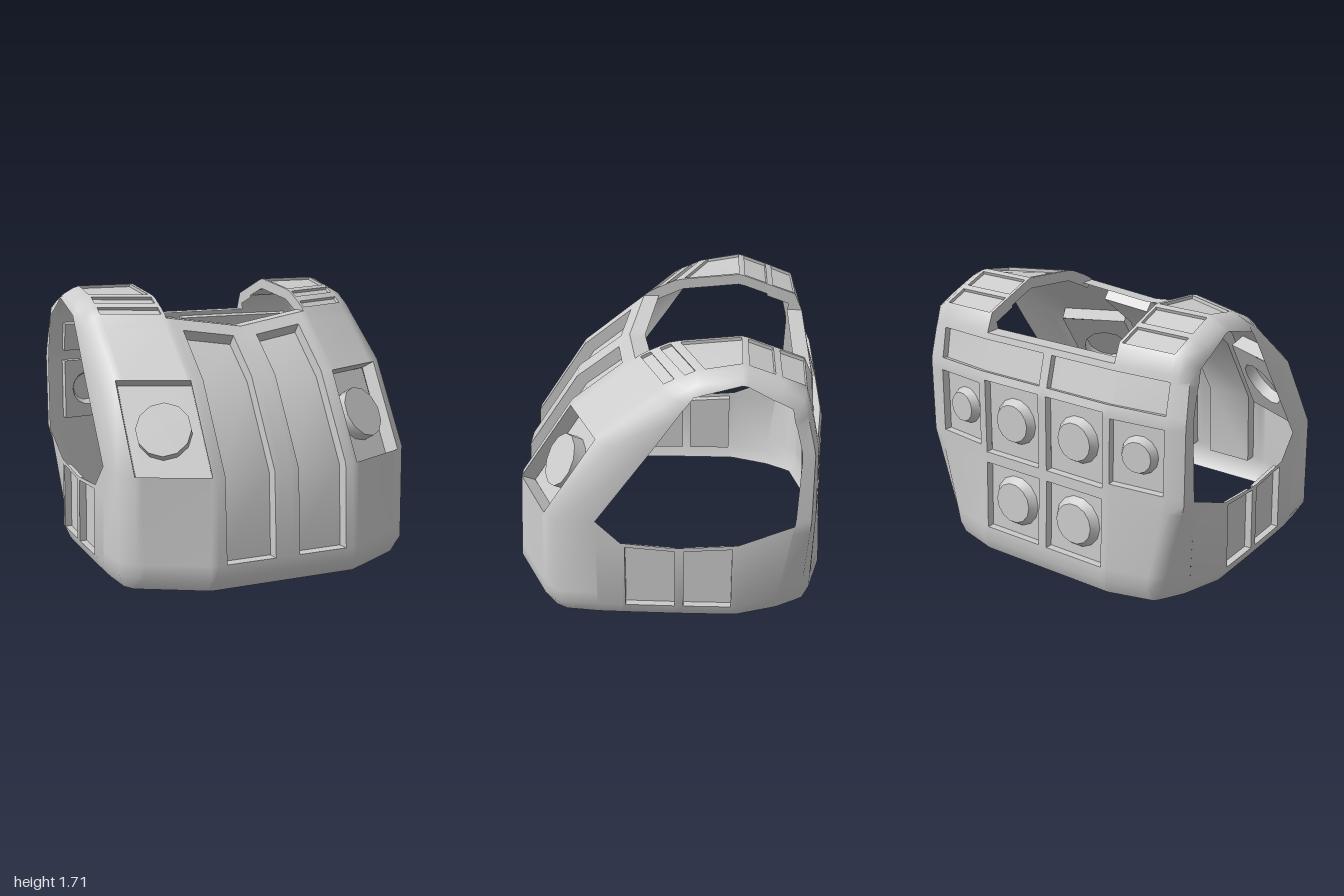
import * as THREE from 'three';
import { toCreasedNormals } from 'three/addons/utils/BufferGeometryUtils.js';

const V = (x, y, z) => new THREE.Vector3(x, y, z);
const mat = new THREE.MeshStandardMaterial({ color: 0xcccccc, side: THREE.DoubleSide });
const clamp = THREE.MathUtils.clamp;

// Rows running up the chest, over the shoulder and down the back:
// height, depth at the strap's inner edge, depth at its outer edge, then height and depth at the armhole side
const ROWS = [
  [0, .92, .70, 0, .43], [.09, .98, .77, .09, .43], [.17, .975, .765, .17, .43],
  [.70, .945, .75, .70, .43], [1.22, .61, .42, 1.22, .07], [1.49, .28, .09, 1.40, -.05],
  [1.55, .205, .02, 1.46, -.09], [1.572, .18, 0, 1.485, -.11], [1.605, .12, -.06, 1.51, -.128],
  [1.63, .065, -.12, 1.53, -.142], [1.66, 0, -.18, 1.55, -.155], [1.672, -.06, -.235, 1.57, -.22],
  [1.71, -.43, -.43, 1.63, -.43], [1.70, -.47, -.47, 1.625, -.46], [1.645, -.62, -.62, 1.54, -.61],
  [1.63, -.66, -.66, 1.525, -.645], [1.575, -.81, -.80, 1.485, -.72],
  [1.46, -.86, -.83, 1.40, -.735], [1.42, -.87, -.84, 1.36, -.75], [1.23, -.925, -.88, 1.21, -.785],
  [1.18, -.94, -.89, 1.17, -.79], [1.15, -.94, -.89, 1.14, -.79], [.74, -.95, -.90, .74, -.775],
  [.70, -.95, -.90, .69, -.77], [.63, -.953, -.90, .63, -.77], [.18, -.975, -.90, .18, -.77],
  [.09, -.98, -.90, .09, -.77], [0, -.94, -.86, 0, -.77],
];
const COLS = [0, .03, .08, .40, .45, .48, .50, .85, .89];
const EDGE = 10; // column index of the armhole edge
const NECK_FRONT = 6, NECK_BACK = 17, STRAP = 5;

// The waist draws in at the back corners
const taper = y => clamp((.7 - y) / .6, 0, 1);

// Point on the flank under and around the armhole
function sidePoint(s, y, z) {
  const x = (y === 0 ? .95 : .992 - .015 * y) + .008 * Math.max(0, 1 - ((z + .17) / .6) ** 2);
  const pull = .08 * taper(y) * clamp((-z - .43) / .34, 0, 1);
  return V(s * (x - pull), y, z + pull);
}

// Point of the main shell; column k is signed, row j runs front to back
function shellPoint(k, j) {
  const [y, zi, zo, ye, ze] = ROWS[j];
  const a = Math.abs(k), s = Math.sign(k);
  const round = clamp((y - 1.22) / .35, 0, 1);
  const t = zi < 0 ? taper(y) : 0;
  const drawn = x => s * (.48 + (x - .48) * (1 - .3 * t));
  if (a === EDGE) return sidePoint(s, ye, ze);
  if (a === EDGE - 1) {
    const x = y === 0 ? .93 : .972 - .022 * round;
    return V(drawn(x), y - .045 * round, zo + (ze + .08 * t - zo) * .25);
  }
  const x = COLS[a];
  if (x <= .48) {
    const dip = j === 5 || j === NECK_FRONT ? (.48 - x) * .14 : 0;
    return V(s * x, y - dip, zi + dip);
  }
  return V(drawn(x), y - (a === 8 ? .012 * round : 0), zi + (zo - zi) * (x - .48) / .41);
}

// Sheet of quads with sunken panels; each panel is [i0, i1, j0, j1, depth, noFloor]
function sheet(P, panels, isOpen = () => false) {
  const pos = [];
  const quad = (a, b, c, d) => [a, b, c, a, c, d].forEach(p => pos.push(p.x, p.y, p.z));
  const panelAt = (i, j) => panels.find(([i0, i1, j0, j1]) => i >= i0 && i < i1 && j >= j0 && j < j1);
  const sunk = ([i0, i1, j0, j1, depth], i, j) => {
    const du = P[Math.min(i + 1, i1)][j].clone().sub(P[Math.max(i - 1, i0)][j]);
    const dv = P[i][Math.min(j + 1, j1)].clone().sub(P[i][Math.max(j - 1, j0)]);
    return P[i][j].clone().addScaledVector(du.cross(dv).normalize(), -depth);
  };
  for (let i = 0; i < P.length - 1; i++) for (let j = 0; j < P[0].length - 1; j++) {
    if (isOpen(i, j)) continue;
    const corners = [[i, j], [i + 1, j], [i + 1, j + 1], [i, j + 1]];
    const top = corners.map(([u, v]) => P[u][v]);
    const panel = panelAt(i, j);
    if (!panel) { quad(...top); continue; }
    const low = corners.map(([u, v]) => sunk(panel, u, v));
    if (!panel[5]) quad(...low);
    // Walls around the panel's border
    [[i, j - 1], [i + 1, j], [i, j + 1], [i - 1, j]].forEach(([u, v], e) => {
      const f = (e + 1) % 4;
      if (panelAt(u, v) !== panel) quad(top[e], top[f], low[f], low[e]);
    });
  }
  return pos;
}

function sheetMesh(name, pos) {
  const g = new THREE.BufferGeometry();
  g.setAttribute('position', new THREE.Float32BufferAttribute(pos, 3));
  const mesh = new THREE.Mesh(toCreasedNormals(g, 1), mat);
  mesh.name = name;
  return mesh;
}

// Panel floor with a round boss raised from it, hollow behind
function boss(name, [k0, k1, j0, j1, depth], rTop, rBase, height, sides) {
  const corners = [[k0, j0], [k1, j0], [k1, j1], [k0, j1]].map(q => shellPoint(...q));
  const [a, b, c, d] = corners;
  const part = new THREE.Group();
  part.name = name;
  const n = c.clone().sub(a).cross(d.clone().sub(b)).normalize();
  const u = b.clone().sub(a).normalize(), v = n.clone().cross(u);
  const centre = a.clone().add(b).add(c).add(d).multiplyScalar(.25);
  part.quaternion.setFromRotationMatrix(new THREE.Matrix4().makeBasis(u, v, n));
  part.position.copy(centre).addScaledVector(n, -depth);

  const ring = r => Array.from({ length: sides }, (_, i) => {
    const angle = i / sides * Math.PI * 2;
    return new THREE.Vector2(r * Math.cos(angle), r * Math.sin(angle));
  });
  const outline = corners.map(p => p.sub(centre)).map(p => new THREE.Vector2(p.dot(u), p.dot(v)));
  const floor = new THREE.Shape(outline);
  floor.holes.push(new THREE.Path(ring(rBase)));
  const floorMesh = new THREE.Mesh(new THREE.ShapeGeometry(floor), mat);
  floorMesh.name = 'panelFloor';
  const wall = new THREE.CylinderGeometry(rTop, rBase, height, sides, 1, true);
  wall.rotateY(Math.PI / 2).rotateX(Math.PI / 2).translate(0, 0, height / 2);
  const wallMesh = new THREE.Mesh(toCreasedNormals(wall, .6), mat);
  wallMesh.name = 'bossWall';
  const cap = new THREE.Mesh(new THREE.CircleGeometry(rTop, sides).translate(0, 0, height), mat);
  cap.name = 'bossFace';
  part.add(floorMesh, wallMesh, cap);
  return part;
}

export function createModel() {
  const group = new THREE.Group();
  group.name = 'chestArmour';

  // Sunken panels on the model's left, in column and row indices
  const lamp = [5, 8, 3, 4, .1, true];
  const backInner = [1, 4, 20, 23, .05, true], backOuter = [6, 7, 21, 22, .05, true];
  const backLower = [1, 4, 24, 25, .05, true];
  const half = [
    [2, 3, 2, 5, .08], lamp,
    ...[7, 9, 11, 13, 15].map(j => [6, 7, j, j + 1, .02]),
    [1, 7, 18, 19, .04], backInner, backOuter, backLower,
  ];
  const mirror = ([a, b, ...rest]) => [-b, -a, ...rest];
  const panels = [...half, ...half.map(mirror)].map(([a, b, ...r]) => [a + EDGE, b + EDGE, ...r]);

  // Chest, straps and back
  const P = [];
  for (let k = -EDGE; k <= EDGE; k++) P.push(ROWS.map((_, j) => shellPoint(k, j)));
  const inNeck = (i, j) => i >= EDGE - STRAP && i < EDGE + STRAP && j >= NECK_FRONT && j < NECK_BACK;
  const shell = sheet(P, panels, inNeck);

  // Flanks under the armholes, joined to the shell
  const stations = [[.43, .70], [.28, .55], [.255, .548], [-.05, .522], [-.105, .523], [-.40, .547], [-.435, .55], [-.77, .69]];
  for (const s of [1, -1]) {
    const S = stations.map(([z, top]) => [0, .09, Math.min(top - .024, .52), top].map(y => sidePoint(s, y, z)));
    if (s < 0) S.reverse();
    shell.push(...sheet(S, [[2, 3, 1, 2, .045], [4, 5, 1, 2, .045]]));
  }
  group.add(sheetMesh('shell', shell));

  // Neck rim turned inward
  const rim = [];
  const addRim = (k, j, dy, dz) => {
    const p = shellPoint(k, j);
    rim.push([p, p.clone().add(V(0, dy, dz))]);
  };
  const strapLean = j => (j < 11 ? -.03 : j > 14 ? .04 : 0);
  for (let k = -STRAP; k <= STRAP; k++) addRim(k, NECK_FRONT, 0, -.1);
  for (let j = NECK_FRONT + 1; j < NECK_BACK; j++) addRim(STRAP, j, -.07, strapLean(j));
  for (let k = STRAP; k >= -STRAP; k--) addRim(k, NECK_BACK, 0, .1);
  for (let j = NECK_BACK - 1; j > NECK_FRONT; j--) addRim(-STRAP, j, -.07, strapLean(j));
  rim.push(rim[0]);
  group.add(sheetMesh('neckRim', sheet(rim, [])));

  // Round bosses, front and back
  for (const [side, m] of [['left', p => p], ['right', mirror]]) {
    group.add(boss(side + 'FrontBoss', m(lamp), .168, .168, .08, 12));
    group.add(boss(side + 'BackInnerBoss', m(backInner), .12, .15, .05, 14));
    group.add(boss(side + 'BackOuterBoss', m(backOuter), .095, .12, .05, 14));
    group.add(boss(side + 'BackLowerBoss', m(backLower), .13, .165, .05, 14));
  }
  return group;
}
